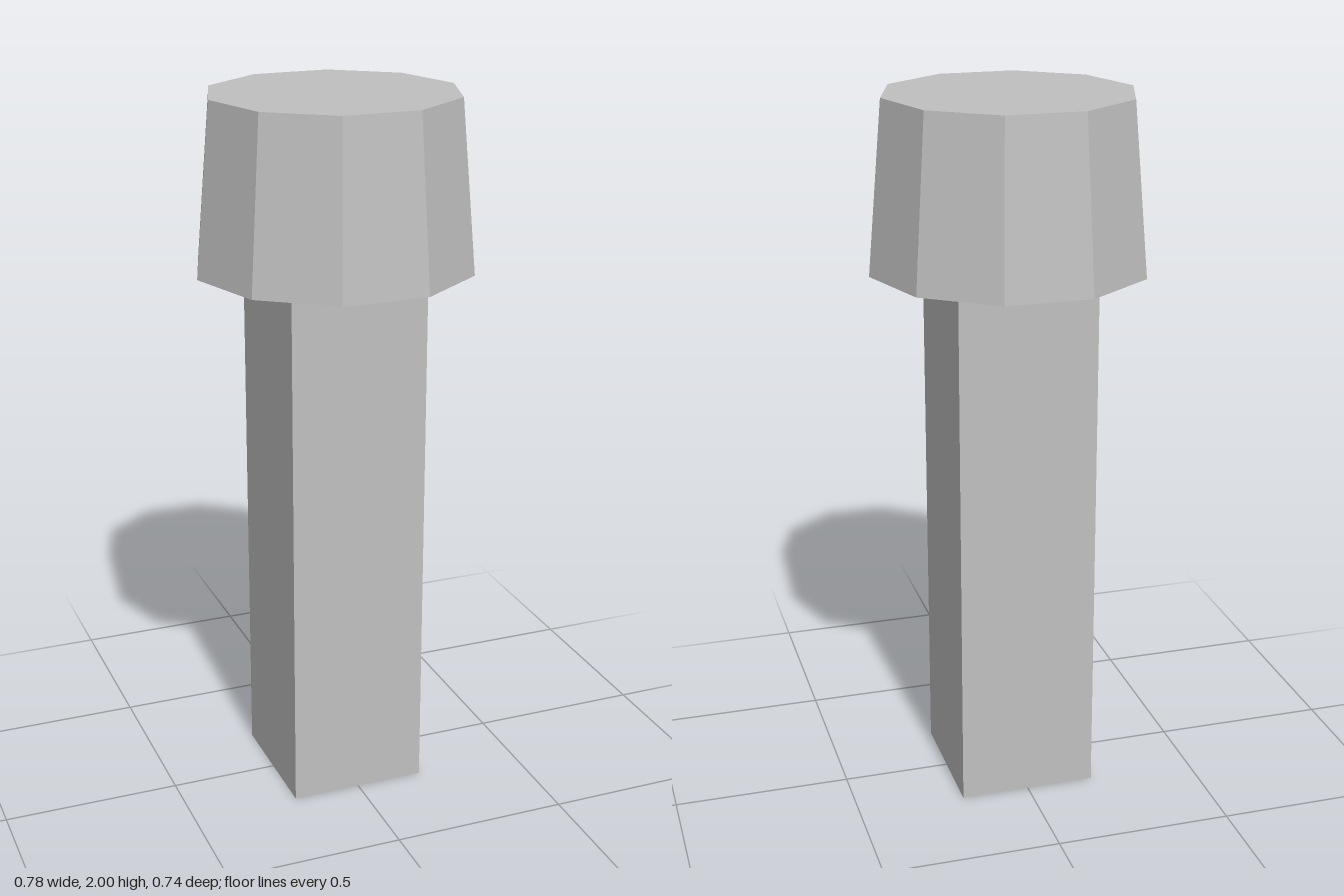
import * as THREE from 'three';

export function createModel() {
  const model = new THREE.Group();
  model.name = 'bolt';

  const greyMetal = new THREE.MeshStandardMaterial({ color: 0xc0c0c0, flatShading: true });
  greyMetal.name = 'grey metal';

  const length = 2;
  const headBase = 1.525;
  const headHeight = length - headBase;

  // Square shaft, from the ground to the underside of the head
  const shaft = new THREE.Mesh(new THREE.BoxGeometry(0.39, headBase, 0.39), greyMetal);
  shaft.name = 'shaft';
  shaft.position.y = headBase / 2;
  model.add(shaft);

  // Tapered ten-sided head, with corners on the x axis
  const head = new THREE.Mesh(
    new THREE.CylinderGeometry(0.348, 0.39, headHeight, 10, 1, false, Math.PI / 2),
    greyMetal
  );
  head.name = 'head';
  head.position.y = headBase + headHeight / 2;
  model.add(head);

  return model;
}
